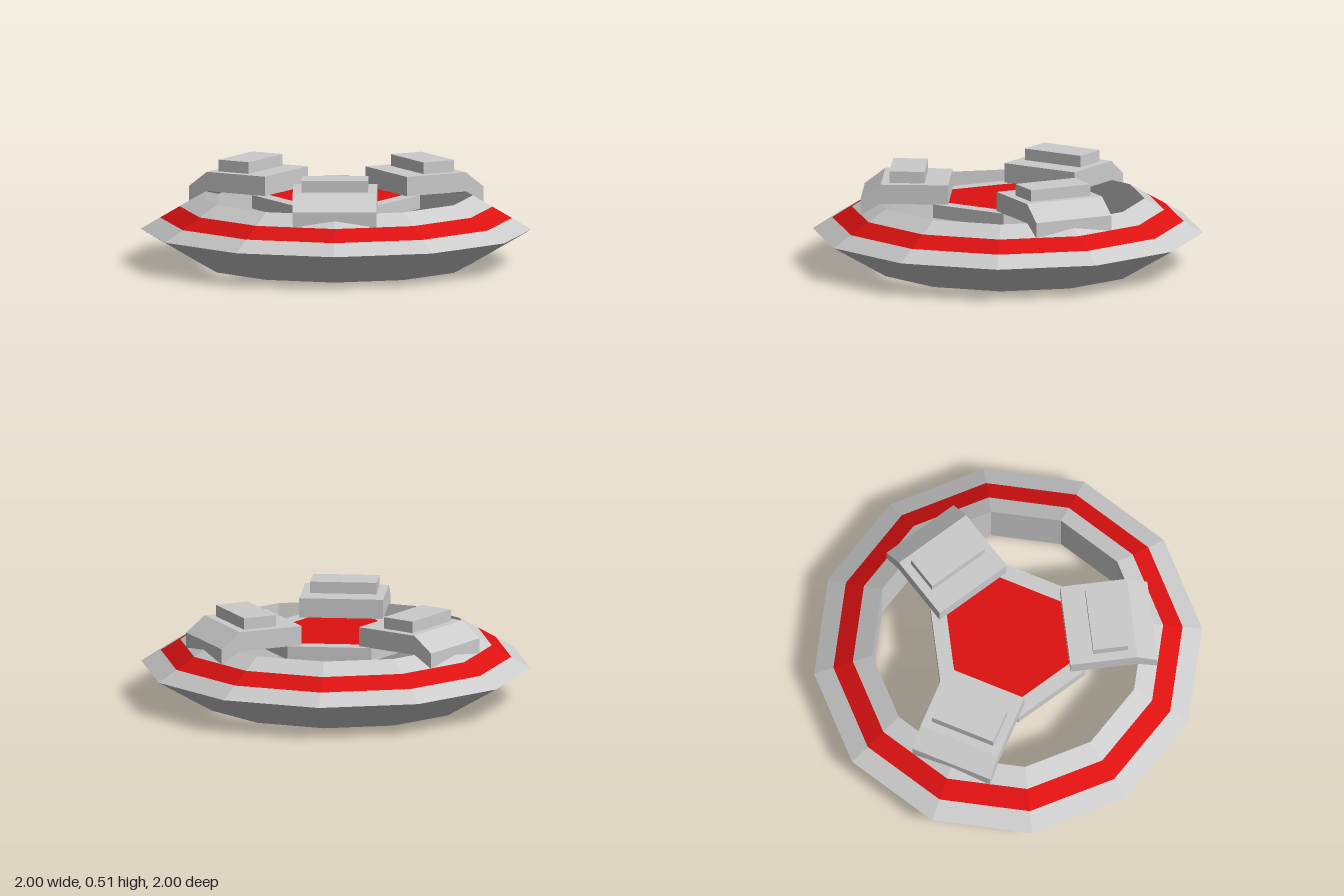
import * as THREE from 'three';

const grey = new THREE.MeshStandardMaterial({ color: 0xcccccc, flatShading: true });
const red = new THREE.MeshStandardMaterial({ color: 0xdd1111, flatShading: true });

function addMesh(parent, name, geometry, material) {
  const mesh = new THREE.Mesh(geometry, material);
  mesh.name = name;
  parent.add(mesh);
  return mesh;
}

// Faceted solid of revolution from [radius, height] pairs
function lathe(points, sides) {
  return new THREE.LatheGeometry(points.map(([r, y]) => new THREE.Vector2(r, y)), sides);
}

// One pod on the +x side: a bent slab that laps over the ring, with a box on top
function createPod() {
  const pod = new THREE.Group();
  const profile = new THREE.Shape([
    [0.295, 0.35], [0.64, 0.35], [0.745, 0.27],
    [0.745, 0.37], [0.64, 0.45], [0.295, 0.45],
  ].map(([x, y]) => new THREE.Vector2(x, y)));
  const slab = new THREE.ExtrudeGeometry(profile, { depth: 0.43, bevelEnabled: false });
  slab.translate(0, 0, -0.215);
  addMesh(pod, 'podBody', slab, grey);
  addMesh(pod, 'podTopBox', new THREE.BoxGeometry(0.18, 0.06, 0.34), grey)
    .position.set(0.508, 0.48, 0);
  return pod;
}

export function createModel() {
  const model = new THREE.Group();
  model.name = 'ringStation';

  // Twelve-sided ring with a red stripe on its upper slope
  const ring = new THREE.Group();
  ring.name = 'ring';
  const a = [0.9, 0.2333], b = [0.8, 0.2917];
  addMesh(ring, 'ringLower', lathe([[0.7, 0], [1, 0.175], a], 12), grey);
  addMesh(ring, 'ringStripe', lathe([a, b], 12), red);
  addMesh(ring, 'ringInner', lathe([b, [0.7, 0.35], [0.7, 0]], 12), grey);
  model.add(ring);

  // Hexagonal hub plate with a red centre
  const hub = new THREE.Group();
  hub.name = 'hub';
  addMesh(hub, 'hubPlate', lathe([[0, 0.28], [0.43, 0.28], [0.43, 0.35], [0.34, 0.35]], 6), grey);
  addMesh(hub, 'hubCentre', lathe([[0.34, 0.35], [0, 0.35]], 6), red);
  model.add(hub);

  // Three pods joining hub and ring
  for (let i = 0; i < 3; i++) {
    const pod = createPod();
    pod.name = `pod${i + 1}`;
    pod.rotation.y = (i * Math.PI * 2) / 3;
    model.add(pod);
  }
  return model;
}
